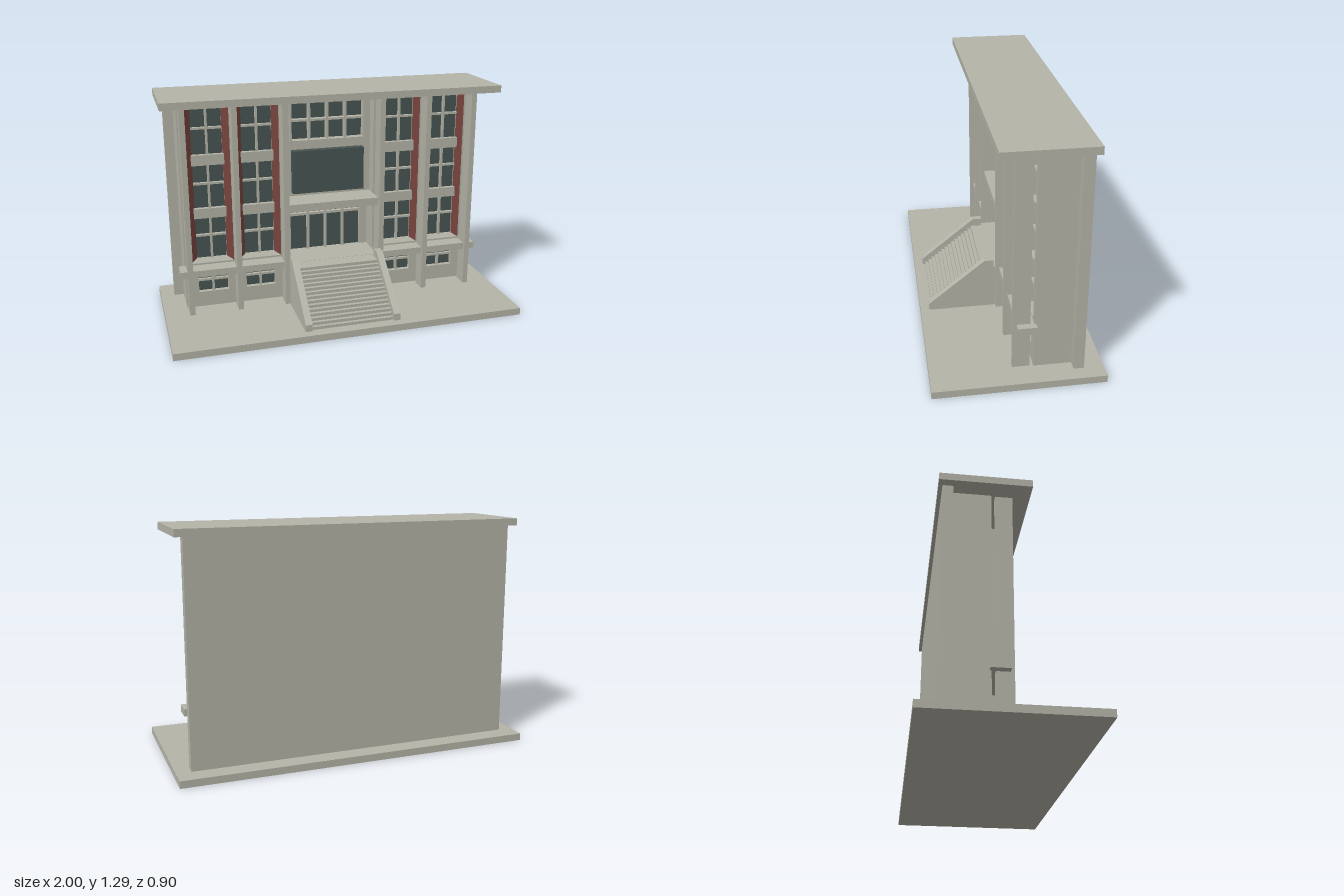
import * as THREE from 'three';

const mat = (name, color, side = THREE.FrontSide) => {
  const m = new THREE.MeshStandardMaterial({ color, side });
  m.name = name;
  return m;
};

export function createModel() {
  const model = new THREE.Group();
  model.name = 'building';
  const stone = mat('stone', 0xb5b4a8);
  const glass = mat('darkGlass', 0x475452);
  const red = mat('redReveal', 0x7a443e, THREE.DoubleSide);

  const add = (name, geometry, material, parent = model) => {
    const mesh = new THREE.Mesh(geometry, material);
    mesh.name = name;
    parent.add(mesh);
    return mesh;
  };
  // Box given by its limits on each axis
  const box = (name, x0, x1, y0, y1, z0, z1, material = stone, parent = model) => {
    const mesh = add(name, new THREE.BoxGeometry(x1 - x0, y1 - y0, z1 - z0), material, parent);
    mesh.position.set((x0 + x1) / 2, (y0 + y1) / 2, (z0 + z1) / 2);
    return mesh;
  };
  const rect = (Type, x0, x1, y0, y1) => {
    const p = new Type();
    p.moveTo(x0, y0).lineTo(x1, y0).lineTo(x1, y1).lineTo(x0, y1).closePath();
    return p;
  };
  // Wall with rectangular openings [x0, x1, y0, y1]
  const wall = (name, limits, z0, z1, holes) => {
    const shape = rect(THREE.Shape, ...limits);
    shape.holes = holes.map(h => rect(THREE.Path, ...h));
    const geo = new THREE.ExtrudeGeometry(shape, { depth: z1 - z0, bevelEnabled: false });
    return add(name, geo.translate(0, 0, z0), stone);
  };
  // Glass pane with glazing bars at the given x and y positions
  const glazing = (name, x0, x1, y0, y1, z, xs, ys, bar, depth) => {
    const g = new THREE.Group();
    g.name = name;
    model.add(g);
    box('glassPane', x0, x1, y0, y1, z - 0.008, z, glass, g);
    xs.forEach(x => box('mullion', x - bar, x + bar, y0, y1, z, z + depth, stone, g));
    ys.forEach(y => box('transom', x0, x1, y - bar, y + bar, z, z + depth - 0.001, stone, g));
  };
  const quad = (name, points, material) => {
    const geo = new THREE.BufferGeometry();
    geo.setAttribute('position', new THREE.Float32BufferAttribute(points.flat(), 3));
    geo.setIndex([0, 1, 2, 0, 2, 3]);
    geo.computeVertexNormals();
    return add(name, geo, material);
  };

  // Base, roof and back of the block
  box('basePlate', -1, 1, 0, 0.04, -0.45, 0.45);
  box('roofSlab', -0.965, 0.965, 1.25, 1.29, -0.365, 0.11);
  box('backWall', -0.92, 0.92, 0.04, 1.25, -0.345, -0.29);
  box('core', -0.865, 0.865, 0.04, 1.25, -0.29, -0.24);

  // Front wall with bay, basement and centre openings
  const bays = [-0.705, -0.425, 0.425, 0.705];
  const half = 0.125, inner = 0.086;
  const holes = [[-0.265, 0.265, 0.29, 1.235]];
  bays.forEach(x => holes.push(
    [x - half, x + half, 0.31, 1.235],
    [x - inner, x + inner, 0.13, 0.262]));
  wall('frontWall', [-0.865, 0.865, 0.04, 1.25], -0.24, -0.09, holes);

  // Window bays: splayed red sides, stone head and sill, stacked windows
  const zf = -0.09, zb = -0.11, yb = 0.31, yt = 1.235, ib = 0.335, it = 1.212;
  bays.forEach(x => {
    for (const s of [-1, 1]) {
      const o = x + s * half, i = x + s * inner;
      quad('redReveal', [[o, yb, zf], [i, ib, zb], [i, it, zb], [o, yt, zf]], red);
    }
    quad('baySill', [[x - half, yb, zf], [x + half, yb, zf], [x + inner, ib, zb], [x - inner, ib, zb]], stone);
    quad('bayHead', [[x - inner, it, zb], [x + inner, it, zb], [x + half, yt, zf], [x - half, yt, zf]], stone);
    for (const [y0, y1] of [[0.335, 0.58], [0.638, 0.89], [0.95, 1.212]])
      glazing('bayWindow', x - inner, x + inner, y0, y1, -0.118, [x], [y0 + (y1 - y0) * 0.57], 0.006, 0.02);
    for (const [y0, y1] of [[0.58, 0.638], [0.89, 0.95]])
      box('spandrel', x - inner - 0.006, x + inner + 0.006, y0, y1, -0.125, -0.09);
    glazing('basementWindow', x - inner, x + inner, 0.13, 0.262, -0.118, [x], [0.2], 0.006, 0.02);
  });

  // Pillars and side ledges, mirrored
  for (const s of [-1, 1]) {
    for (const x of [0.285, 0.565, 0.845])
      box('pillar', s * x - 0.015, s * x + 0.015, 0.04, 1.25, -0.07, 0.02);
    box('ledge', Math.min(s * 0.27, s * 0.9), Math.max(s * 0.27, s * 0.9), 0.26, 0.3, -0.1, 0);
  }

  // Recessed centre: upper window, dark panel, canopy and doors
  wall('centreUpperWall', [-0.265, 0.265, 0.6, 1.235], -0.23, -0.16, [[-0.215, 0.215, 0.985, 1.215]]);
  glazing('upperWindow', -0.215, 0.215, 0.985, 1.215, -0.18, [-0.108, 0, 0.108], [1.1], 0.006, 0.04);
  for (const s of [-1, 1]) {
    box('windowFrameSide', s * 0.22 - 0.005, s * 0.22 + 0.005, 0.975, 1.222, -0.16, -0.13);
    box('windowFrameRail', -0.215, 0.215, 1.0985 + s * 0.1185 - 0.005, 1.0985 + s * 0.1185 + 0.005, -0.16, -0.13);
  }
  box('darkPanel', -0.215, 0.215, 0.67, 0.925, -0.16, -0.117, glass);
  box('canopy', -0.268, 0.268, 0.6, 0.645, -0.2, 0.005);
  wall('doorWall', [-0.265, 0.265, 0.29, 0.6], -0.24, -0.2, [[-0.215, 0.215, 0.2901, 0.5999]]);
  glazing('entranceDoors', -0.215, 0.215, 0.29, 0.6, -0.215, [-0.108, 0, 0.108], [0.515], 0.007, 0.025);

  // Landing and stairs
  box('landingFloor', -0.265, 0.265, 0.26, 0.29, -0.235, 0);
  box('landingBlock', -0.265, 0.265, 0.04, 0.289, -0.07, 0.028);
  const steps = 15, rise = 0.25 / steps, run = 0.0207;
  const profile = new THREE.Shape();
  profile.moveTo(0.02, 0.04).lineTo(0.385, 0.04);
  for (let i = 0; i < steps; i++) {
    profile.lineTo(0.385 - i * run, 0.04 + (i + 1) * rise);
    profile.lineTo(i === steps - 1 ? 0.02 : 0.385 - (i + 1) * run, 0.04 + (i + 1) * rise);
  }
  // Side profiles are drawn as (z, y) and turned to run along x
  const sideExtrude = (name, shape, x0, x1) => {
    const geo = new THREE.ExtrudeGeometry(shape, { depth: x1 - x0, bevelEnabled: false });
    return add(name, geo.rotateY(-Math.PI / 2).translate(x1, 0, 0), stone);
  };
  sideExtrude('stairs', profile, -0.237, 0.237);
  const cheek = new THREE.Shape();
  cheek.moveTo(0.028, 0.04).lineTo(0.4, 0.04).lineTo(0.4, 0.08).lineTo(0.08, 0.335).lineTo(0.028, 0.335).closePath();
  sideExtrude('stairWallLeft', cheek, 0.237, 0.275);
  sideExtrude('stairWallRight', cheek, -0.275, -0.237);

  return model;
}
